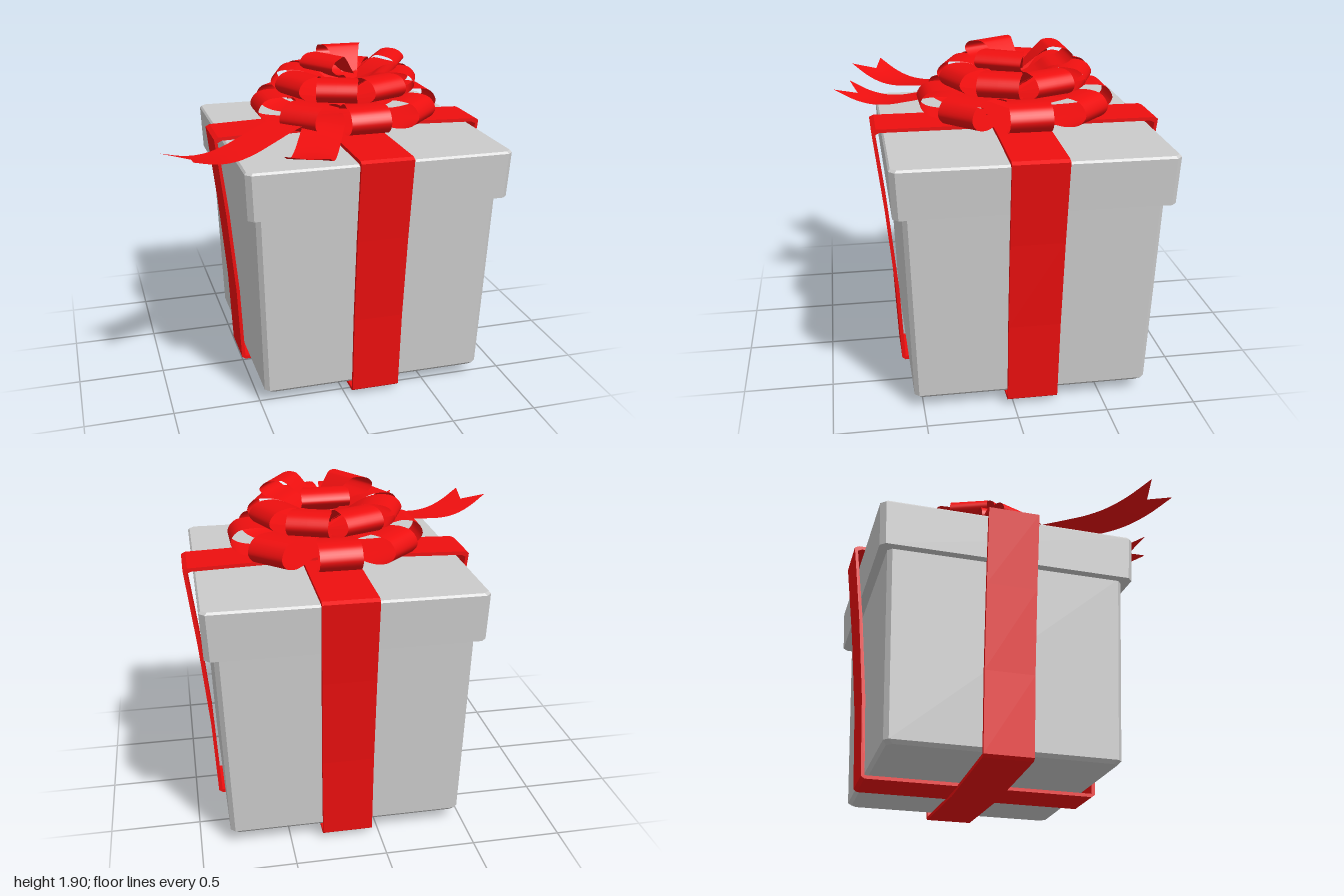
import * as THREE from 'three';

const CX = 0.18, CZ = -0.105;
const grey = new THREE.MeshStandardMaterial({ color: 0xcccccc, flatShading: true });
const bandRed = new THREE.MeshStandardMaterial({ color: 0xee0f0f, flatShading: true });
const bowRed = new THREE.MeshStandardMaterial({ color: 0xee0f0f, side: THREE.DoubleSide });

function add(parent, name, geometry, material) {
  const mesh = new THREE.Mesh(geometry, material);
  mesh.name = name;
  parent.add(mesh);
  return mesh;
}

// Closed square block with cut corners, lofted through [y, half width, corner cut]
function loft(sections) {
  const pos = [], idx = [];
  for (const [y, h, c] of sections) {
    const k = h - c;
    for (const [x, z] of [[h, k], [h, -k], [k, -h], [-k, -h], [-h, -k], [-h, k], [-k, h], [k, h]]) pos.push(x, y, z);
  }
  const last = (sections.length - 1) * 8;
  for (let s = 0; s < last; s += 8) {
    for (let i = 0; i < 8; i++) {
      const j = (i + 1) % 8;
      idx.push(s + i, s + j, s + 8 + j, s + i, s + 8 + j, s + 8 + i);
    }
  }
  for (let i = 1; i < 7; i++) {
    idx.push(0, i + 1, i);
    idx.push(last, last + i, last + i + 1);
  }
  const g = new THREE.BufferGeometry();
  g.setAttribute('position', new THREE.Float32BufferAttribute(pos, 3));
  g.setIndex(idx);
  g.computeVertexNormals();
  return g;
}

// Closed band around the box, slightly narrower towards the bottom
function bandGeometry(top, topMid, bottom, bottomMid) {
  const ring = (inset) => {
    const half = [
      [0.67, bottom + inset], [0.69 - inset, bottom + 0.015 + inset], [0.713 - inset, 0.5],
      [0.76 - inset, 1.0], [0.815 - inset, top - 0.012 - inset], [0.79 - inset, top - inset],
      [0.4, (top + 2 * topMid) / 3 - inset],
    ];
    const pts = [[0, bottomMid + inset], ...half, [0, topMid - inset],
      ...half.slice().reverse().map(([x, y]) => [-x, y])];
    return pts.map(([x, y]) => new THREE.Vector2(x, y));
  };
  const shape = new THREE.Shape(ring(0));
  shape.holes.push(new THREE.Path(ring(0.02)));
  const g = new THREE.ExtrudeGeometry(shape, { depth: 0.3, bevelEnabled: false });
  g.translate(0, 0, -0.15);
  const p = g.attributes.position;
  for (let i = 0; i < p.count; i++) p.setZ(i, p.getZ(i) * (0.93 + 0.047 * p.getY(i)));
  g.computeVertexNormals();
  return g;
}

// Thin strip following (r, y) points outwards along +x; notch pulls in the middle of the far end
function strip(points, steps, widthAt, notch = 0) {
  const curve = new THREE.CatmullRomCurve3(points.map(([r, y]) => new THREE.Vector3(r, y, 0)));
  const pos = [], idx = [];
  const end = points[points.length - 1][0];
  for (let i = 0; i <= steps; i++) {
    const t = i / steps, p = curve.getPoint(t), w = widthAt(p.x) / 2;
    const mid = notch ? curve.getPoint(t * (1 - notch / end)) : p;
    pos.push(p.x, p.y, w, mid.x, mid.y, 0, p.x, p.y, -w);
    if (i < steps) {
      for (const a of [i * 3, i * 3 + 1]) idx.push(a, a + 3, a + 4, a, a + 4, a + 1);
    }
  }
  const g = new THREE.BufferGeometry();
  g.setAttribute('position', new THREE.Float32BufferAttribute(pos, 3));
  g.setIndex(idx);
  g.computeVertexNormals();
  return g;
}

// Teardrop loop: out along the bottom, round the tip, back over the top
function loopGeometry(R, root, low, high, width) {
  const m = (low + high) / 2, h = high - low;
  const pts = [
    [0, root], [R * 0.4, root + (low - root) * 0.55], [R - 0.12, low], [R - 0.035, low + h * 0.17],
    [R, m], [R - 0.035, high - h * 0.12], [R - 0.12, high], [R * 0.5, high - h * 0.14], [0.02, root + 0.05],
  ];
  return strip(pts, 40, (r) => width * Math.min(1, 0.3 + 0.9 * r / R));
}

export function createModel() {
  const model = new THREE.Group();
  model.name = 'giftBox';

  const box = new THREE.Group();
  box.name = 'box';
  box.position.set(CX, 0, CZ);
  model.add(box);
  add(box, 'boxBody', loft([[0.065, 0.635, 0.03], [0.085, 0.655, 0.025], [1.18, 0.695, 0.025]]), grey);
  add(box, 'boxLid', loft([[1.17, 0.745, 0.03], [1.43, 0.757, 0.03], [1.442, 0.747, 0.03]]), grey);

  // Crossing ribbon bands
  add(box, 'sideToSideBand', bandGeometry(1.472, 1.49, 0.025, 0), bandRed);
  add(box, 'frontToBackBand', bandGeometry(1.474, 1.474, 0.02, 0.02), bandRed).rotation.y = Math.PI / 2;

  // Bow: three tiers of loops
  const bow = new THREE.Group();
  bow.name = 'bow';
  model.add(bow);
  const tiers = [
    { name: 'lowerLoop', n: 8, start: 0, x: CX, R: 0.545, root: 1.505, low: 1.51, high: 1.67, width: 0.23 },
    { name: 'middleLoop', n: 8, start: Math.PI / 8, x: CX, R: 0.42, root: 1.61, low: 1.66, high: 1.8, width: 0.23 },
    { name: 'upperLoop', n: 3, start: Math.PI / 2, x: 0.22, R: 0.295, root: 1.72, low: 1.795, high: 1.9, width: 0.26 },
  ];
  for (const t of tiers) {
    const g = loopGeometry(t.R, t.root, t.low, t.high, t.width);
    for (let i = 0; i < t.n; i++) {
      const loop = add(bow, t.name + (i + 1), g, bowRed);
      loop.position.set(t.x, 0, -0.11);
      loop.rotation.y = t.start + i * 2 * Math.PI / t.n;
    }
  }

  // Two wavy tails with swallow-tail ends
  const tails = [
    { name: 'longTail', x: 0.18, dx: -1.11, dz: 0.795 },
    { name: 'shortTail', x: 0.12, dx: -0.425, dz: 0.965 },
  ];
  for (const { name, x, dx, dz } of tails) {
    const L = Math.hypot(dx, dz);
    const profile = [[0, 1.53], [0.2, 1.565], [0.4, 1.57], [0.55, 1.535], [0.68, 1.505], [0.78, 1.5], [0.88, 1.52], [1, 1.572]];
    const tail = add(bow, name, strip(profile.map(([r, y]) => [r * L, y]), 32,
      (r) => 0.1 + 0.135 * Math.min(1, r / 0.4), 0.12), bowRed);
    tail.position.set(x, 0, -0.11);
    tail.rotation.y = Math.atan2(-dz, dx);
  }
  return model;
}
